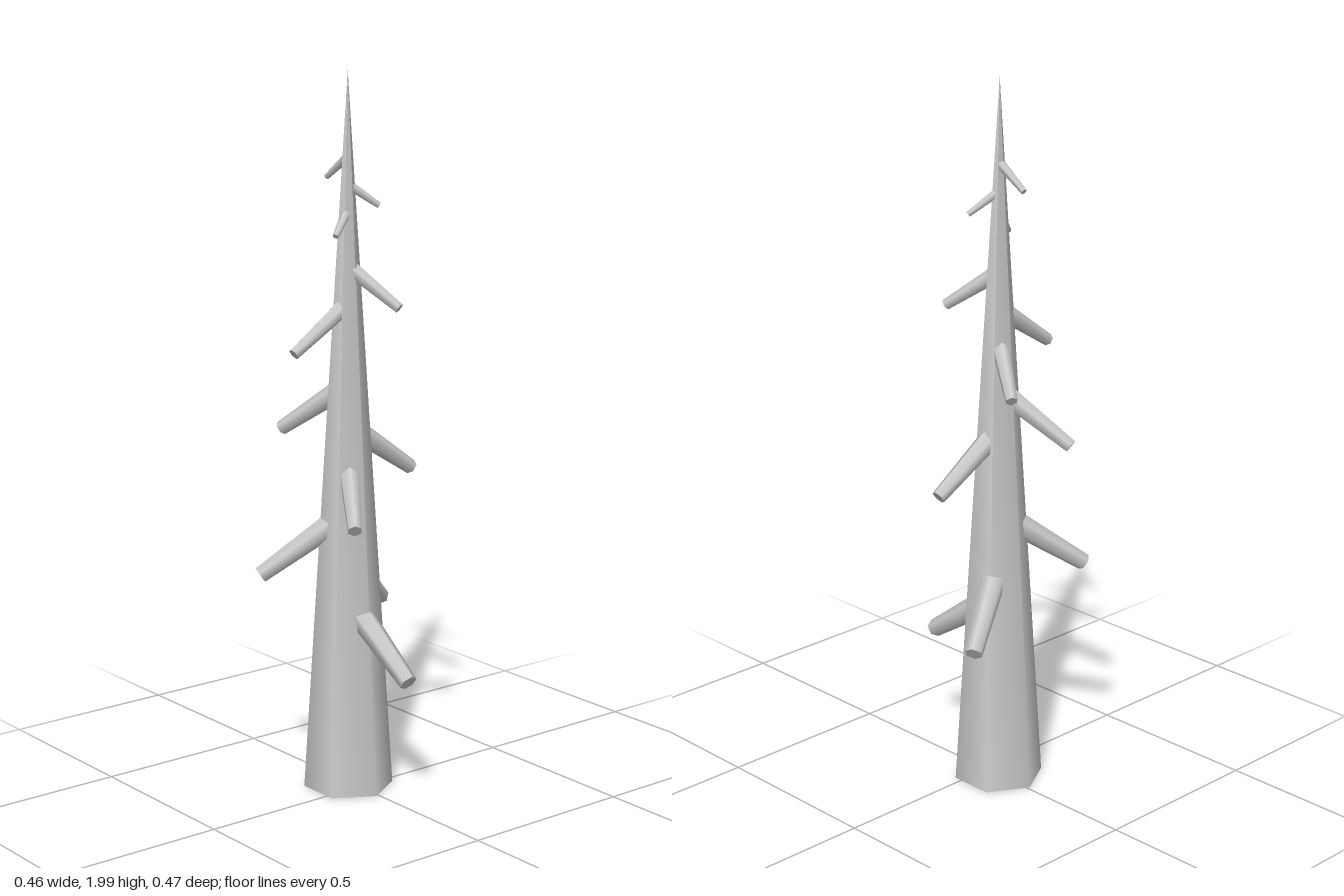
import * as THREE from 'three';

const AXIS_X = -0.008, AXIS_Z = -0.04;
const SLOPE = 0.69; // drop per unit of horizontal reach

// Each branch: heading in degrees (0 = +x, 90 = front), tip height, horizontal reach
const BRANCHES = [
  [90, 0.365, 0.26], [-30, 0.478, 0.253], [210, 0.62, 0.243],
  [123.5, 0.79, 0.208], [3.5, 0.886, 0.213], [243.5, 1.005, 0.203],
  [303.5, 1.165, 0.171], [183.5, 1.247, 0.175], [63.5, 1.365, 0.151],
  [150, 1.56, 0.088], [30, 1.63, 0.084], [270, 1.7, 0.09],
];

export function createModel() {
  const group = new THREE.Group();
  const material = new THREE.MeshStandardMaterial({ color: 0xcccccc });

  // Six-sided tapering trunk ending in a point
  const trunk = new THREE.Mesh(new THREE.CylinderGeometry(0, 0.125, 1.99, 6), material);
  trunk.name = 'trunk';
  trunk.position.set(AXIS_X, 0.995, AXIS_Z);
  group.add(trunk);

  // Drooping broken branches, in four whorls of three
  const branches = new THREE.Group();
  branches.name = 'branches';
  BRANCHES.forEach(([heading, tipY, reach], i) => {
    const length = reach * Math.hypot(1, SLOPE);
    const tipRadius = 0.097 * reach;
    const geometry = new THREE.CylinderGeometry(tipRadius, tipRadius * 1.55, length, 6);
    geometry.translate(0, length / 2, 0);
    geometry.rotateX(Math.PI / 2 + Math.atan(SLOPE));
    geometry.rotateY(Math.PI / 2 - THREE.MathUtils.degToRad(heading));
    const branch = new THREE.Mesh(geometry, material);
    branch.name = `branch${i + 1}`;
    branch.position.set(AXIS_X, tipY + reach * SLOPE, AXIS_Z);
    branches.add(branch);
  });
  group.add(branches);
  return group;
}
